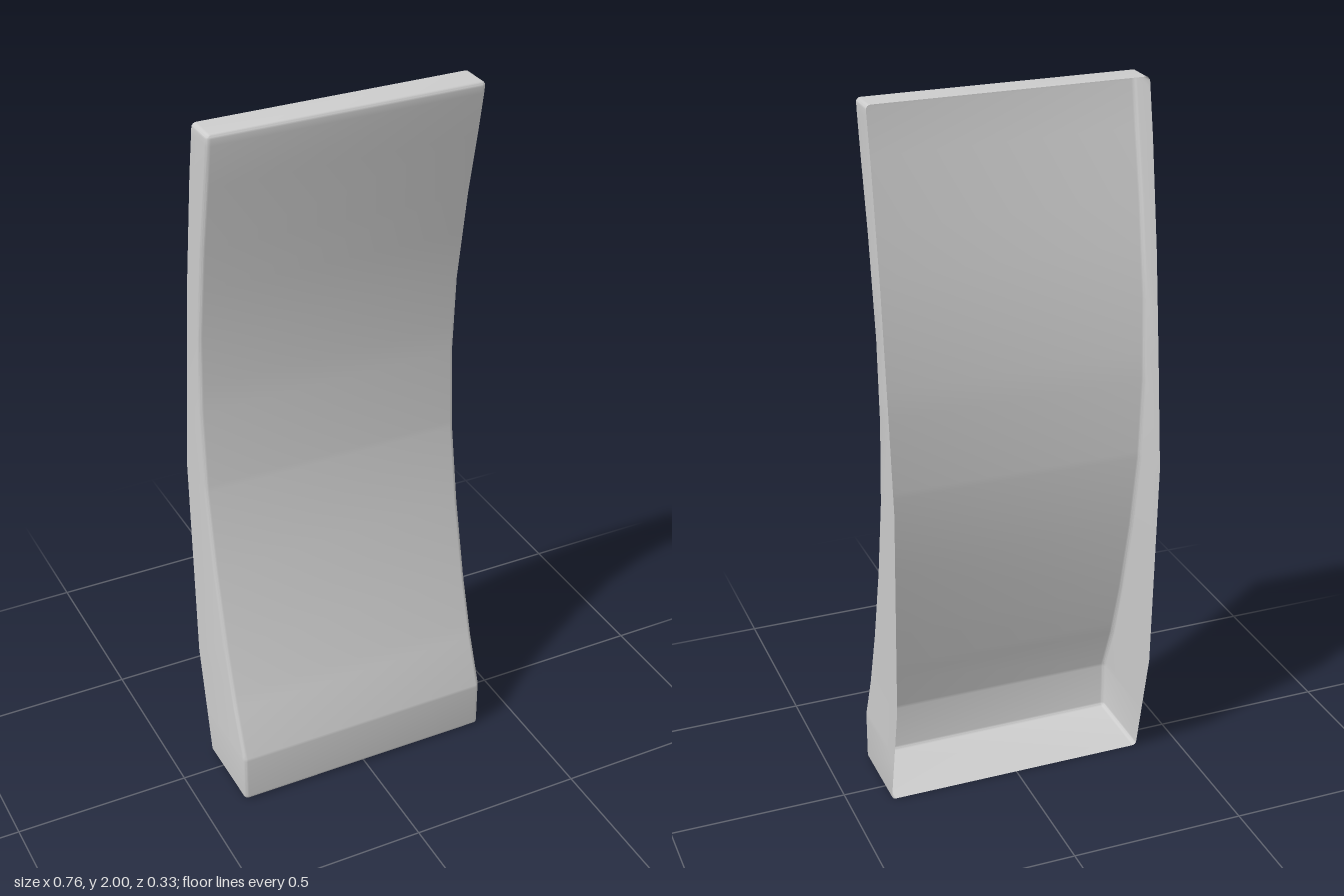
import * as THREE from 'three';
import { toCreasedNormals } from 'three/addons/utils/BufferGeometryUtils.js';

const HALF = 0.38, R = 0.012, HEIGHT = 2, STEPS = 4;

// side profiles as [y, z]: the curved face and the rear edge of the flanges
const face = [[0, 0.165], [0.15, 0.165], [0.29, 0.11], [0.47, 0.055], [0.7, 0], [0.93, -0.04], [1.17, -0.055],
  [1.4, -0.043], [1.67, 0], [1.85, 0.038], [1.97, 0.061], [2, 0.064]];
const rear = [[0, -0.07], [0.33, -0.141], [0.95, -0.165], [1.25, -0.134], [1.55, -0.1], [1.85, -0.054], [2, -0.025]];

function zAt(profile, y) {
  const i = Math.max(1, profile.findIndex((p) => p[0] >= y - 1e-9));
  const [a, b] = [profile[i - 1], profile[i]];
  return a[1] + (b[1] - a[1]) * (y - a[0]) / (b[0] - a[0]);
}

// U-shaped cross-section with rounded front corners, open at the back
function section(y, inset, flat) {
  const w = HALF - inset, zf = zAt(face, y) - inset, zb = zAt(rear, y);
  const r = Math.max(R - inset, 0.001);
  const half = [[w, zb]];
  for (let i = 0; i <= STEPS; i++) {
    const a = (i / STEPS) * Math.PI / 2;
    half.push([w - r + r * Math.cos(a), zf - r + r * Math.sin(a)]);
  }
  const left = half.map(([x, z]) => [-x, z]);
  return [...left, ...half.reverse()].map(([x, z]) => [x, y, flat ? zb : z]);
}

function shellGeometry() {
  // heights of the plain sections, kept clear of the rounded ends
  const heights = [...face, ...rear, [0.14], [0.16]].map((p) => p[0])
    .filter((y) => y > R && y < HEIGHT - R);
  const rows = [...new Set(heights)].sort((a, b) => a - b).map((y) => section(y, 0));

  // rounded bottom and top edges
  for (let i = 0; i <= STEPS; i++) {
    const a = (i / STEPS) * Math.PI / 2;
    const d = R * (1 - Math.sin(a)), inset = R * (1 - Math.cos(a));
    rows.unshift(section(d, inset));
    rows.push(section(HEIGHT - d, inset));
  }
  // closing floor and top: the section is drawn back to its rear edge
  rows.unshift(section(0, R, true));
  rows.push(section(HEIGHT, R, true));

  const n = rows[0].length, index = [];
  for (let j = 0; j < rows.length - 1; j++) {
    for (let i = 0; i < n - 1; i++) {
      const a = j * n + i, b = a + 1, c = b + n, d = a + n;
      index.push(a, b, c, a, c, d);
    }
  }
  const geometry = new THREE.BufferGeometry();
  geometry.setAttribute('position', new THREE.Float32BufferAttribute(rows.flat(2), 3));
  geometry.setIndex(index);
  return toCreasedNormals(geometry, 0.6);
}

export function createModel() {
  const group = new THREE.Group();
  group.name = 'curvedPanel';
  const material = new THREE.MeshStandardMaterial({ color: 0xcccccc, side: THREE.DoubleSide });
  const shell = new THREE.Mesh(shellGeometry(), material);
  shell.name = 'panelShell';
  group.add(shell);
  return group;
}
